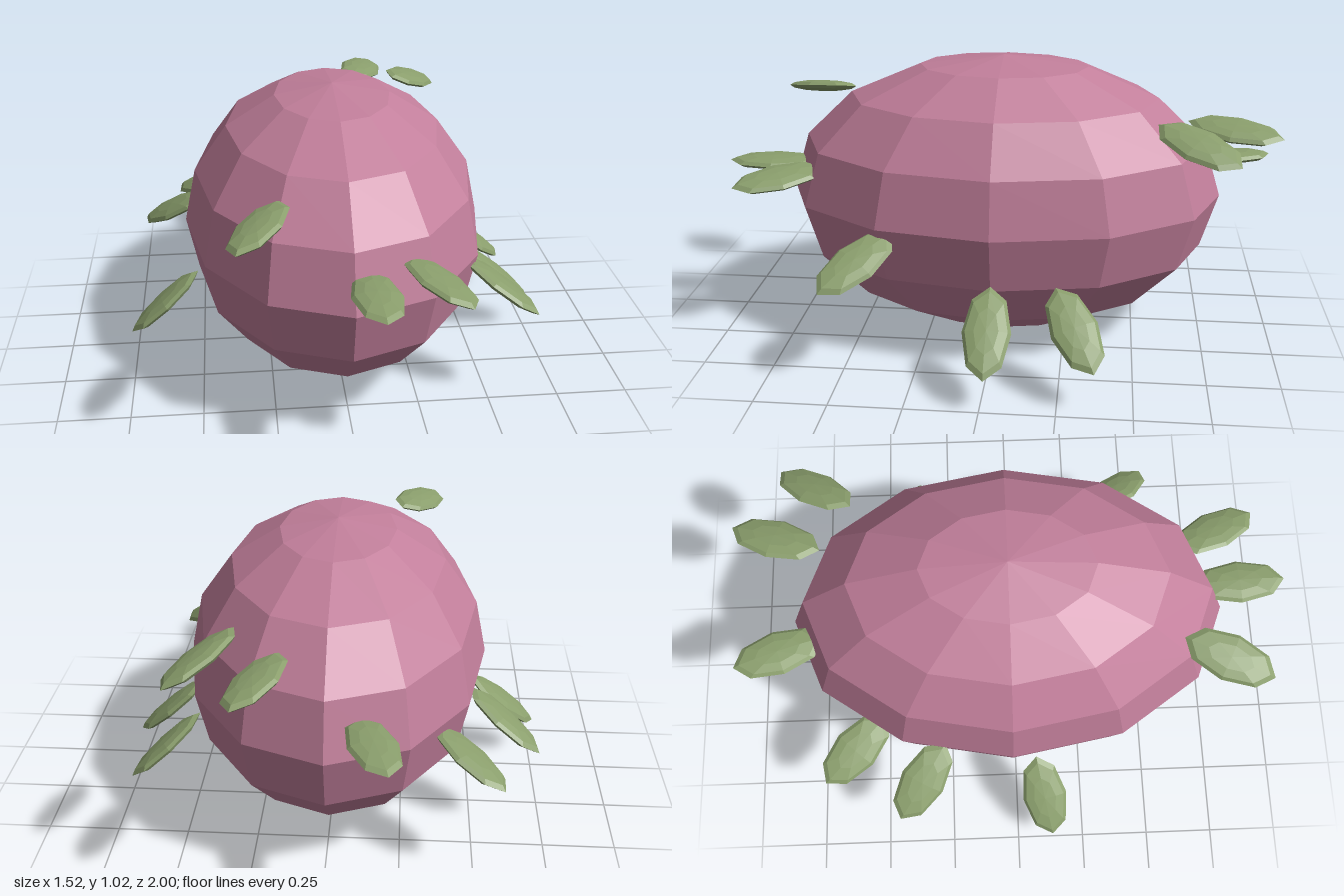
import * as THREE from 'three';

// Leaves: tip x, y, z, heading seen from above (x, z), and slope of the blade along x
const LEAVES = [
  [-0.21, 0.61, -1.0, -0.3, -0.95, 0.03],
  [0.25, 0.80, -0.98, 0.33, -0.94, -0.25],
  [0.48, 0.77, -0.82, 0.58, -0.81, -0.45],
  [0.72, 0.14, -0.37, 0.86, -0.5, -0.82],
  [0.76, 0.12, -0.015, 1, 0, -0.86],
  [0.65, 0.35, 0.54, 0.73, 0.68, -0.6],
  [0.335, 0.595, 0.91, 0.46, 0.89, -0.25],
  [0.06, 0.61, 1.0, 0.05, 1, -0.03],
  [-0.37, 0.79, 0.88, -0.43, 0.9, 0.27],
  [-0.76, 0.125, 0.13, -0.97, 0.22, 0.84],
  [-0.72, 0.335, -0.43, -0.81, -0.59, 0.65],
  [-0.585, 0.36, -0.7, -0.69, -0.72, 0.47],
];
const HALF_LENGTH = 0.167;

export function createModel() {
  const group = new THREE.Group();
  const bodyMaterial = new THREE.MeshStandardMaterial({ color: 0xc27f9b, flatShading: true });
  bodyMaterial.name = 'dusty pink';
  const leafMaterial = new THREE.MeshStandardMaterial({ color: 0x8a9e6c, flatShading: true });
  leafMaterial.name = 'leaf green';

  // Faceted egg-shaped body
  const body = new THREE.Mesh(new THREE.SphereGeometry(1, 12, 8), bodyMaterial);
  body.name = 'body';
  body.scale.set(0.54, 0.508, 0.79);
  body.position.set(-0.005, 0.508, -0.013);
  group.add(body);

  // Flattened eight-sided leaves around the body, pointing outward
  const leafGeometry = new THREE.SphereGeometry(1, 8, 6);
  leafGeometry.scale(0.082, 0.022, HALF_LENGTH);
  LEAVES.forEach(([x, y, z, dx, dz, slope], i) => {
    const along = new THREE.Vector3(dx, slope * dx, dz).normalize();
    const normal = new THREE.Vector3(-slope, 1, 0).normalize();
    const across = new THREE.Vector3().crossVectors(normal, along);
    const leaf = new THREE.Mesh(leafGeometry, leafMaterial);
    leaf.name = `leaf${i + 1}`;
    leaf.quaternion.setFromRotationMatrix(new THREE.Matrix4().makeBasis(across, normal, along));
    leaf.position.set(x, y, z).addScaledVector(along, -HALF_LENGTH);
    group.add(leaf);
  });
  return group;
}
